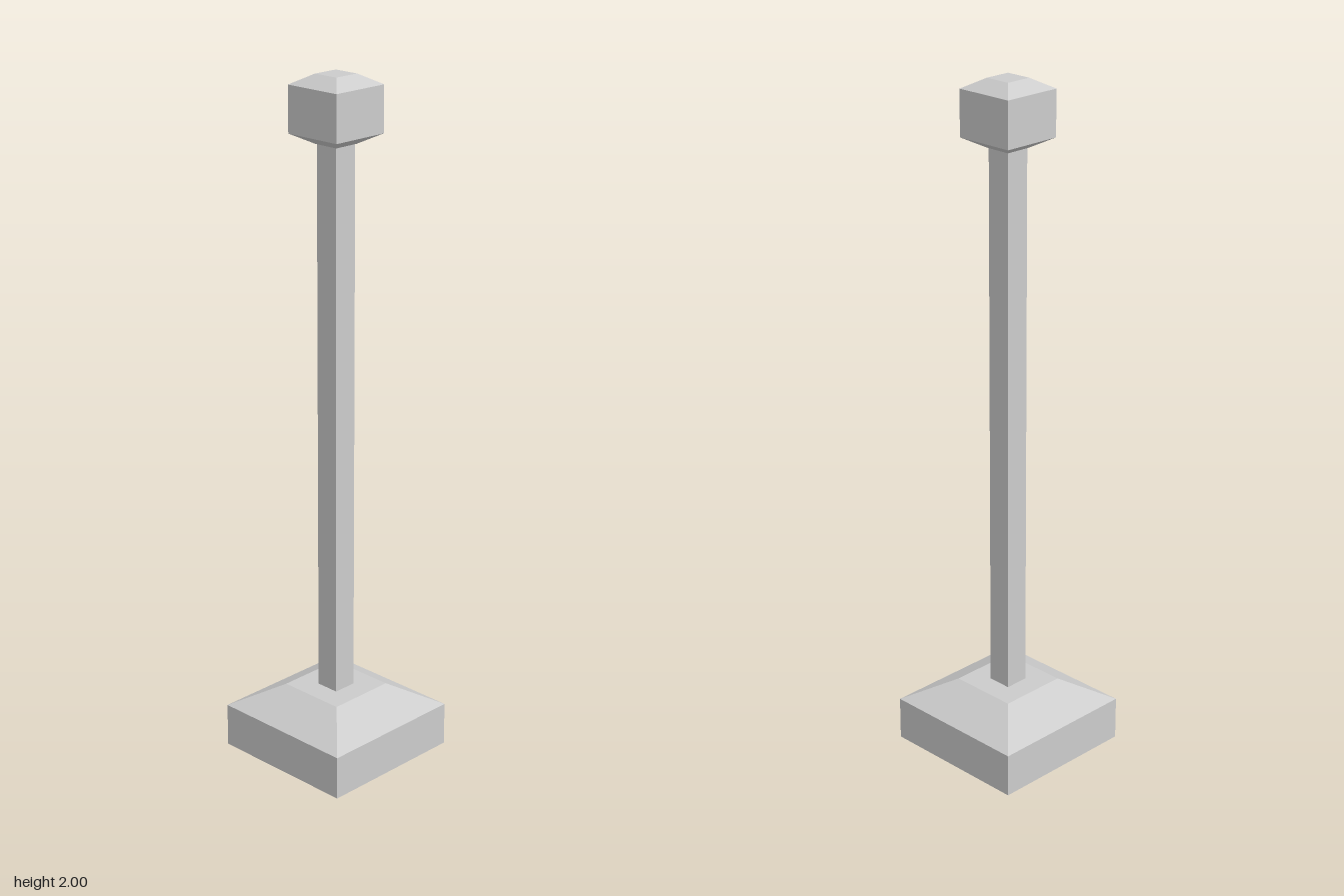
import * as THREE from 'three';

const material = new THREE.MeshStandardMaterial({ color: 0xcccccc, flatShading: true });

// Square block turned from a profile of [half width, height], listed bottom to top
function squareTurned(name, profile) {
  const points = profile.map(([half, y]) => new THREE.Vector2(half * Math.SQRT2, y));
  const mesh = new THREE.Mesh(new THREE.LatheGeometry(points, 4, Math.PI / 4), material);
  mesh.name = name;
  return mesh;
}

export function createModel() {
  const group = new THREE.Group();
  group.name = 'squarePost';

  // Wide foot, bevelled above and below
  group.add(squareTurned('base', [
    [0, 0], [0.1, 0], [0.219, 0.068], [0.219, 0.193], [0.1, 0.26], [0, 0.26],
  ]));

  // Slim square shaft
  const shaft = new THREE.Mesh(new THREE.BoxGeometry(0.07, 1.56, 0.07), material);
  shaft.name = 'shaft';
  shaft.position.y = 1.04;
  group.add(shaft);

  // Bevelled cap
  group.add(squareTurned('cap', [
    [0, 1.818], [0.038, 1.818], [0.087, 1.845], [0.087, 1.972], [0.038, 2], [0, 2],
  ]));

  return group;
}
